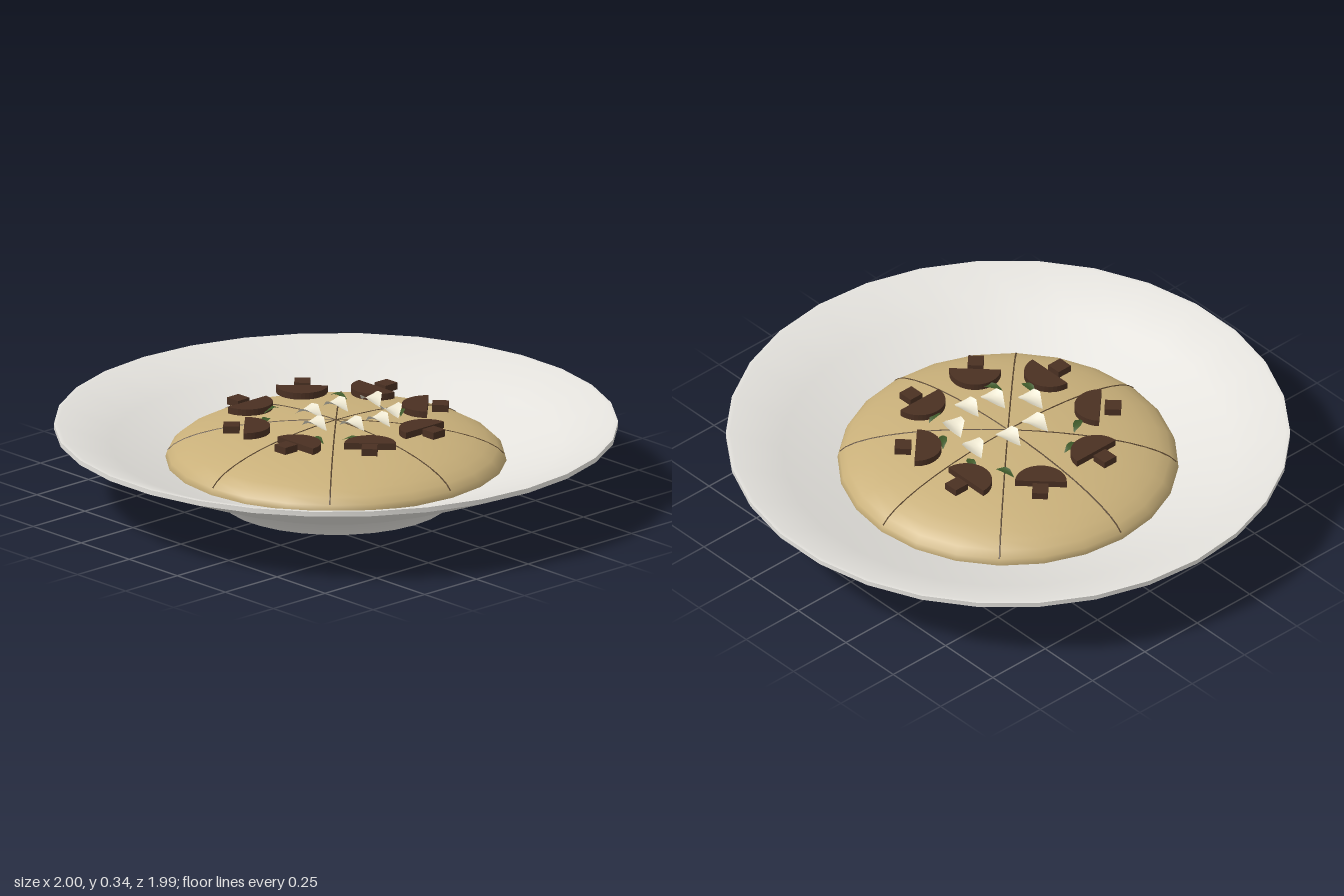
import * as THREE from 'three';
import { toCreasedNormals } from 'three/addons/utils/BufferGeometryUtils.js';

const mat = (color, side = THREE.FrontSide) => new THREE.MeshStandardMaterial({ color, side });
const rad = THREE.MathUtils.degToRad;

const DOME = { r: 0.605, base: 0.15, h: 0.143 };
const domeY = (r) => DOME.base + DOME.h * Math.sqrt(Math.max(0, 1 - (r / DOME.r) ** 2));

function add(parent, name, geometry, material) {
  const mesh = new THREE.Mesh(geometry, material);
  mesh.name = name;
  parent.add(mesh);
  return mesh;
}

// Pointed leaf-shaped sheet, bent lengthwise (arch) and across (curl)
function bladeGeometry(length, width, arch, curl) {
  const g = new THREE.PlaneGeometry(2, 2, 8, 4).rotateX(-Math.PI / 2);
  const p = g.attributes.position;
  for (let i = 0; i < p.count; i++) {
    const u = p.getX(i), v = p.getZ(i);
    const w = Math.min(1, 1.35 * (1 - Math.abs(u))) * v;
    p.setXYZ(i, (u * length) / 2, arch * (1 - u * u) + curl * w * w, (w * width) / 2);
  }
  g.computeVertexNormals();
  return g;
}

export function createModel() {
  const model = new THREE.Group();
  model.name = 'plateOfFood';

  // Shallow footed bowl with a wide flaring rim
  const profile = [
    [0, 0], [0.41, 0], [0.45, 0.05], [0.58, 0.096], [0.8, 0.183], [1, 0.265], [1, 0.283],
    [0.985, 0.283], [0.8, 0.208], [0.6, 0.135], [0.45, 0.085], [0, 0.07],
  ].map(([x, y]) => new THREE.Vector2(x, y));
  const bowl = new THREE.LatheGeometry(profile, 30).rotateY(Math.PI / 2);
  add(model, 'bowl', toCreasedNormals(bowl, 0.8), mat(0xe4e2dd));

  // Low mound of food
  const mound = new THREE.SphereGeometry(1, 24, 10, 0, Math.PI * 2, 0, Math.PI / 2);
  mound.scale(DOME.r, DOME.h, DOME.r);
  add(model, 'mound', mound, mat(0xc9b07a)).position.y = DOME.base;

  // Thin score lines running from the top of the mound to its edge
  const seams = new THREE.Group();
  seams.name = 'scoreLines';
  model.add(seams);
  const arc = new THREE.CatmullRomCurve3(Array.from({ length: 9 }, (_, i) => {
    const t = (i / 8) * 1.4;
    return new THREE.Vector3(DOME.r * Math.sin(t), DOME.base + DOME.h * Math.cos(t) - 0.001, 0);
  }));
  const seamGeo = new THREE.TubeGeometry(arc, 20, 0.003, 5);
  const seamMat = mat(0x5a4630);
  for (let i = 0; i < 8; i++) {
    add(seams, 'scoreLine', seamGeo, seamMat).rotation.y = (i * Math.PI) / 4;
  }

  // Ring of sliced mushrooms: half-disc cap plus a small stem pointing outward
  const capGeo = new THREE.Shape().absarc(0, 0, 0.092, Math.PI / 2, Math.PI * 1.5);
  capGeo.closePath();
  const cap = new THREE.ExtrudeGeometry(capGeo, { depth: 0.024, bevelEnabled: false, curveSegments: 10 });
  cap.rotateX(-Math.PI / 2);
  const stem = new THREE.BoxGeometry(0.058, 0.026, 0.056);
  const brown = mat(0x4a3022);
  for (let i = 0; i < 8; i++) {
    const a = rad(22.5 + 45 * i);
    const slice = new THREE.Group();
    slice.name = 'mushroomSlice';
    slice.position.set(0.347 * Math.cos(a), 0.29, 0.347 * Math.sin(a));
    slice.rotation.y = -a - rad(22.5);
    add(slice, 'cap', cap, brown);
    add(slice, 'stem', stem, brown).position.set(0.045, 0.014, 0);
    model.add(slice);
  }

  // Scattered sheets: [x, z, heading in degrees]
  const scatter = (name, geometry, material, y, spots) => {
    for (const [x, z, heading] of spots) {
      const m = add(model, name, geometry, material);
      m.position.set(x, y(Math.hypot(x, z)), z);
      m.rotation.y = -rad(heading);
    }
  };

  // Herb leaves between mushrooms and cheese
  scatter('herbLeaf', bladeGeometry(0.082, 0.03, 0.012, 0.004), mat(0x3f5a2a, THREE.DoubleSide),
    (r) => domeY(r) + 0.012, [
      [-0.18, -0.177, -11], [-0.065, -0.235, 22], [0.1, -0.22, 42], [0.23, -0.14, 75],
      [0.215, 0.118, -31], [0.128, 0.214, 3], [-0.15, 0.198, 62], [-0.23, 0.097, 85],
    ]);

  // Curled cheese shavings around the middle
  scatter('cheeseShaving', bladeGeometry(0.112, 0.076, 0.018, 0.018), mat(0xe8e2cc, THREE.DoubleSide),
    () => 0.308, [
      [-0.02, -0.187, 8], [0.118, -0.155, 14], [0.166, -0.048, -8], [0.139, 0.053, -10],
      [0.048, 0.15, -10], [-0.064, 0.07, -16], [-0.059, -0.053, -10],
    ]);

  return model;
}
